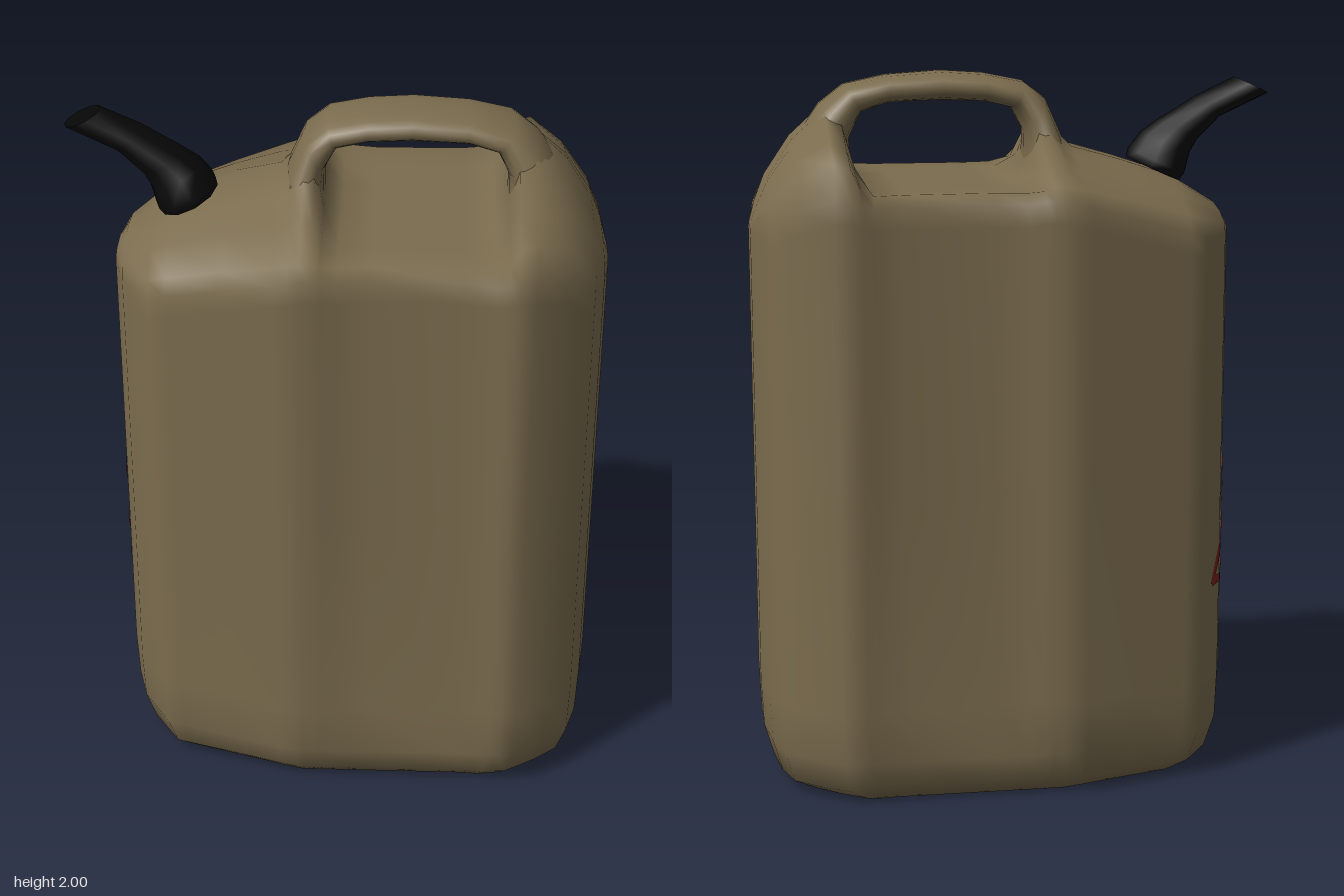
import * as THREE from 'three';
import { mergeGeometries } from 'three/addons/utils/BufferGeometryUtils.js';

// Skin a list of equal-length closed rings and close both ends with strips
function loft(rings) {
  const n = rings[0].length, idx = [];
  for (let i = 0; i < rings.length - 1; i++) {
    for (let j = 0; j < n; j++) {
      const a = i * n + j, b = i * n + (j + 1) % n, c = a + n, d = b + n;
      idx.push(a, c, b, b, c, d);
    }
  }
  const last = (rings.length - 1) * n;
  for (let j = 0; j < n / 2; j++) {
    const a = j, b = j + 1, c = n - 1 - j, d = (n - j) % n;
    idx.push(a, b, c, a, c, d);
    idx.push(last + a, last + c, last + b, last + a, last + d, last + c);
  }
  const g = new THREE.BufferGeometry();
  g.setAttribute('position', new THREE.Float32BufferAttribute(rings.flat(2), 3));
  g.setIndex(idx);
  g.computeVertexNormals();
  return g;
}

// Rounded ring spanning two edge points in the xy plane, zw = half width in z
function ring([ax, ay, bx, by, zw], sides, power) {
  const soft = v => Math.sign(v) * Math.pow(Math.abs(v), power);
  return Array.from({ length: sides }, (_, i) => {
    const t = (i / sides) * Math.PI * 2, c = soft(Math.cos(t)), s = soft(Math.sin(t));
    return [(ax + bx) / 2 + c * (ax - bx) / 2, (ay + by) / 2 + c * (ay - by) / 2, -s * zw];
  });
}

// Can stations: x, half width, then top heights from the wall to the middle
const STATIONS = [
  [-0.61, 0.07, 1.55, 1.56, 1.57, 1.57, 1.57],
  [-0.58, 0.18, 1.55, 1.58, 1.605, 1.615, 1.62],
  [-0.50, 0.305, 1.555, 1.605, 1.645, 1.665, 1.67],
  [-0.45, 0.32, 1.575, 1.62, 1.665, 1.69, 1.70],
  [-0.30, 0.366, 1.62, 1.665, 1.71, 1.74, 1.75],
  [-0.16, 0.41, 1.66, 1.70, 1.74, 1.77, 1.79],
  [-0.12, 0.42, 1.67, 1.71, 1.755, 1.80, 1.83],
  [-0.09, 0.42, 1.68, 1.715, 1.765, 1.83, 1.88],
  [-0.06, 0.42, 1.68, 1.715, 1.765, 1.83, 1.86],
  [-0.035, 0.42, 1.68, 1.705, 1.73, 1.75, 1.75],
  [0.01, 0.42, 1.67, 1.70, 1.70, 1.70, 1.70],
  [0.10, 0.42, 1.67, 1.70, 1.70, 1.70, 1.70],
  [0.34, 0.42, 1.67, 1.70, 1.70, 1.70, 1.70],
  [0.425, 0.42, 1.67, 1.70, 1.70, 1.70, 1.70],
  [0.46, 0.422, 1.68, 1.72, 1.75, 1.76, 1.76],
  [0.485, 0.424, 1.69, 1.77, 1.81, 1.86, 1.88],
  [0.53, 0.42, 1.69, 1.79, 1.83, 1.88, 1.90],
  [0.62, 0.36, 1.66, 1.74, 1.78, 1.81, 1.82],
  [0.69, 0.30, 1.60, 1.66, 1.69, 1.71, 1.71],
  [0.72, 0.20, 1.58, 1.62, 1.63, 1.64, 1.64],
  [0.738, 0.06, 1.56, 1.57, 1.58, 1.58, 1.58],
];

// Rounded base rows: height, length factor, width factor
const BASE = [[0.003, 0.85, 0.86], [0.035, 0.95, 0.92], [0.13, 0.99, 1.02]];

function bodyRing([x, w, edge, shoulder, mid, inner, top]) {
  const atBase = k => 0.064 + (x - 0.064) * k;
  // Walls are drawn in along a shallow vertical hollow below the grip
  const hollow = 0.032 * THREE.MathUtils.smoothstep(0.29 - Math.abs(x - 0.2), 0, 0.2);
  const wall = w - hollow;
  const half = [
    ...BASE.map(([y, kx, kz]) => [atBase(kx), y, w * kz]),
    [x, 0.27, w - hollow * 0.7], [x, 0.9, wall], [x, edge - 0.06, wall], [x, edge, wall],
    [x, shoulder, wall * 0.93], [x, mid, w * 0.6], [x, inner, w * 0.3], [x, top, w * 0.16],
  ];
  const mirrored = half.map(([px, y, z]) => [px, y, -z]).reverse();
  return [[atBase(0.85), 0, 0], ...half, [x, top, 0], ...mirrored];
}

// Wrap flat artwork drawn in xy onto the curved narrow end of the can
function wrapOnEnd(g) {
  g.rotateY(-Math.PI / 2);
  const p = g.attributes.position;
  for (let i = 0; i < p.count; i++) {
    const z = Math.abs(p.getZ(i));
    let k = 0;
    while (k < 2 && z > STATIONS[k + 1][1]) k++;
    const [x0, w0] = STATIONS[k], [x1, w1] = STATIONS[k + 1];
    const t = Math.max(0, (z - w0) / (w1 - w0));
    p.setX(i, x0 + (x1 - x0) * t - 0.003);
  }
  g.computeVertexNormals();
  return g;
}

function bar([x0, y0, x1, y1, width]) {
  const g = new THREE.PlaneGeometry(Math.hypot(x1 - x0, y1 - y0), width, 20, 1);
  g.rotateZ(Math.atan2(y1 - y0, x1 - x0));
  g.translate((x0 + x1) / 2, (y0 + y1) / 2, 0);
  return wrapOnEnd(g);
}

export function createModel() {
  const group = new THREE.Group();
  const mat = (name, color) => {
    const m = new THREE.MeshStandardMaterial({ color });
    m.name = name;
    return m;
  };
  const olive = mat('olive brown plastic', 0x7b6c4e);
  const black = mat('black rubber', 0x070707);
  const red = mat('dark red paint', 0x7d1f1b);
  red.side = THREE.DoubleSide;
  const add = (name, geometry, material) => {
    const mesh = new THREE.Mesh(geometry, material);
    mesh.name = name;
    group.add(mesh);
  };

  // Can with sloped shoulders and a recess under the grip
  add('canBody', loft(STATIONS.map(bodyRing)), olive);

  // Carrying handle flaring into the shoulders: outer point, inner point, half width
  const handle = [
    [-0.15, 1.77, -0.02, 1.68, 0.18],
    [-0.135, 1.825, -0.035, 1.75, 0.145],
    [-0.09, 1.925, -0.035, 1.83, 0.118],
    [-0.03, 1.97, 0.0, 1.895, 0.11],
    [0.08, 1.992, 0.08, 1.914, 0.11],
    [0.20, 2.0, 0.20, 1.92, 0.11],
    [0.35, 1.99, 0.35, 1.914, 0.11],
    [0.47, 1.965, 0.425, 1.89, 0.112],
    [0.54, 1.912, 0.458, 1.82, 0.125],
    [0.59, 1.84, 0.458, 1.75, 0.15],
    [0.61, 1.79, 0.43, 1.68, 0.18],
  ];
  add('handle', loft(handle.map(h => ring(h, 16, 0.85))), olive);

  // Curved pouring spout with a wide collar: lower point, upper point, half width
  const spout = [
    [-0.485, 1.68, -0.33, 1.75, 0.10],
    [-0.50, 1.70, -0.335, 1.775, 0.11],
    [-0.515, 1.76, -0.37, 1.82, 0.085],
    [-0.535, 1.795, -0.42, 1.855, 0.07],
    [-0.60, 1.86, -0.53, 1.92, 0.062],
    [-0.74, 1.925, -0.64, 1.972, 0.053],
  ];
  spout.push(spout[5]);
  add('spout', loft(spout.map(s => ring(s, 10, 1))), black);

  // Worn warning triangle, its far corner rubbed away, with a flame
  const strokes = [
    [-0.235, 0.545, 0, 0.98, 0.022],
    [0, 0.98, 0.068, 0.83, 0.022],
    [-0.235, 0.552, -0.13, 0.552, 0.026],
    [-0.09, 0.56, 0.06, 0.565, 0.024],
  ];
  add('warningTriangle', mergeGeometries(strokes.map(bar)), red);

  const flame = new THREE.Shape();
  flame.moveTo(-0.02, 0.62);
  flame.quadraticCurveTo(-0.1, 0.66, -0.055, 0.73);
  flame.lineTo(-0.035, 0.71);
  flame.quadraticCurveTo(-0.04, 0.78, 0.015, 0.82);
  flame.quadraticCurveTo(0.01, 0.77, 0.05, 0.72);
  flame.quadraticCurveTo(0.09, 0.66, 0.025, 0.62);
  flame.quadraticCurveTo(0.04, 0.66, 0.0, 0.69);
  flame.quadraticCurveTo(-0.03, 0.66, -0.02, 0.62);
  add('warningFlame', wrapOnEnd(new THREE.ShapeGeometry(flame, 6)), red);

  return group;
}
